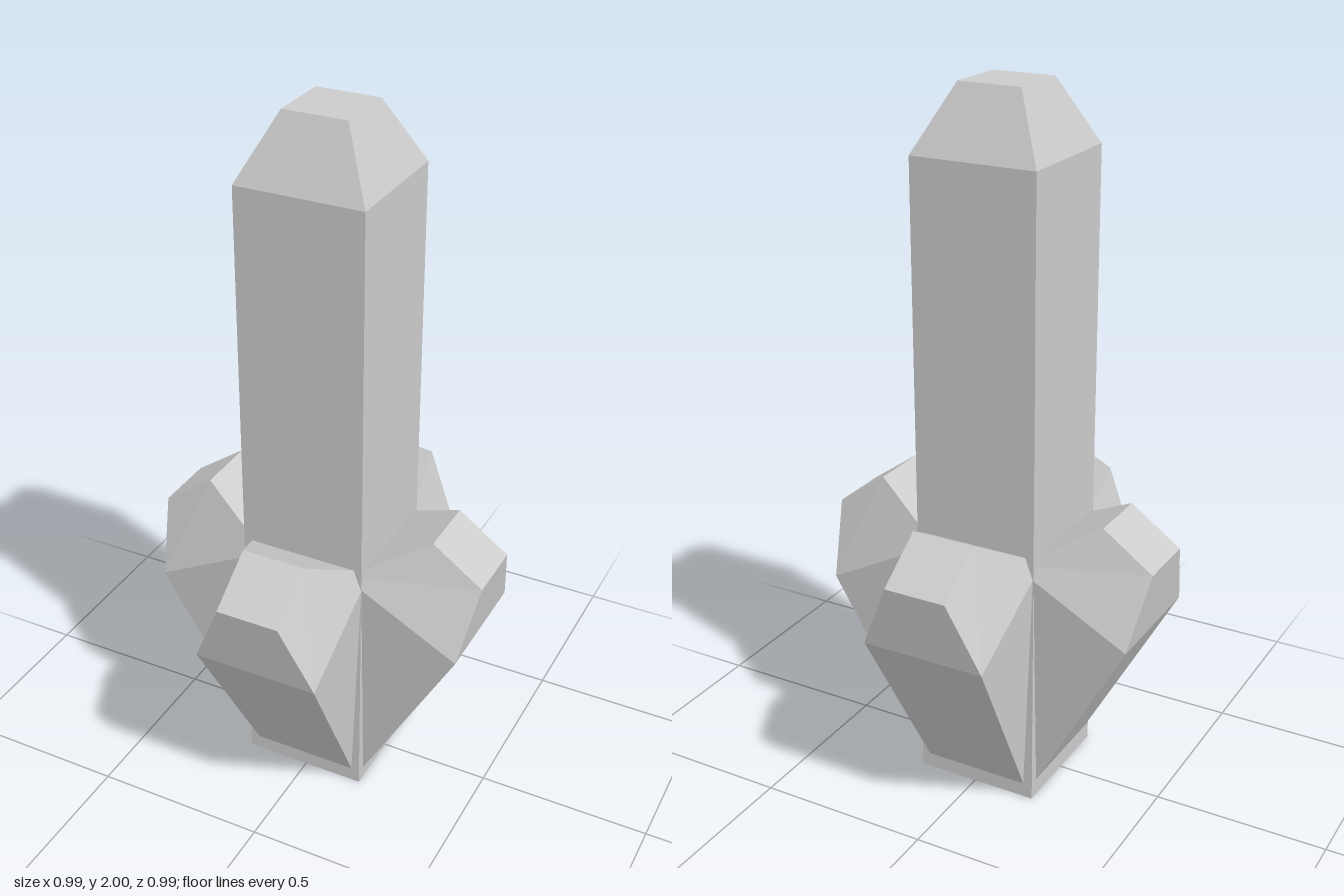
import * as THREE from 'three';

const material = new THREE.MeshStandardMaterial({ color: 0xcccccc, flatShading: true });

// Ring of four corners: half width, then height and depth of its front and back edge.
const ring = (half, frontY, frontZ, backY, backZ) => [
  [-half, frontY, frontZ], [half, frontY, frontZ],
  [half, backY, backZ], [-half, backY, backZ],
];

// Closed, faceted solid through a stack of four-cornered rings, bottom to top.
function crystal(rings) {
  const positions = [];
  const quad = (a, b, c, d) => positions.push(...a, ...b, ...c, ...a, ...c, ...d);
  const bottom = rings[0];
  const top = rings[rings.length - 1];
  quad(bottom[3], bottom[2], bottom[1], bottom[0]);
  for (let k = 0; k < rings.length - 1; k++) {
    for (let i = 0; i < 4; i++) {
      const j = (i + 1) % 4;
      quad(rings[k][i], rings[k][j], rings[k + 1][j], rings[k + 1][i]);
    }
  }
  quad(...top);
  const geometry = new THREE.BufferGeometry();
  geometry.setAttribute('position', new THREE.Float32BufferAttribute(positions, 3));
  geometry.computeVertexNormals();
  return geometry;
}

export function createModel() {
  const model = new THREE.Group();
  model.name = 'crystalCluster';

  // Tall central crystal with a bevelled tip
  const column = new THREE.Mesh(crystal([
    ring(0.182, 0, 0.182, 0, -0.182),
    ring(0.182, 1.82, 0.182, 1.82, -0.182),
    ring(0.091, 2, 0.091, 2, -0.091),
  ]), material);
  column.name = 'centralCrystal';
  column.position.x = -0.005;
  model.add(column);

  // Four short crystals leaning outwards, tapering into the column's foot
  const shardGeometry = crystal([
    ring(0.154, 0.012, 0.165, 0.15, -0.08),
    ring(0.181, 0.555, 0.463, 0.735, 0.125),
    ring(0.091, 0.755, 0.494, 0.86, 0.347),
  ]);
  ['front', 'left', 'back', 'right'].forEach((side, i) => {
    const shard = new THREE.Mesh(shardGeometry, material);
    shard.name = `${side}Crystal`;
    shard.rotation.y = i * Math.PI / 2;
    shard.position.x = i % 2 ? -0.001 : -0.004;
    model.add(shard);
  });

  return model;
}
